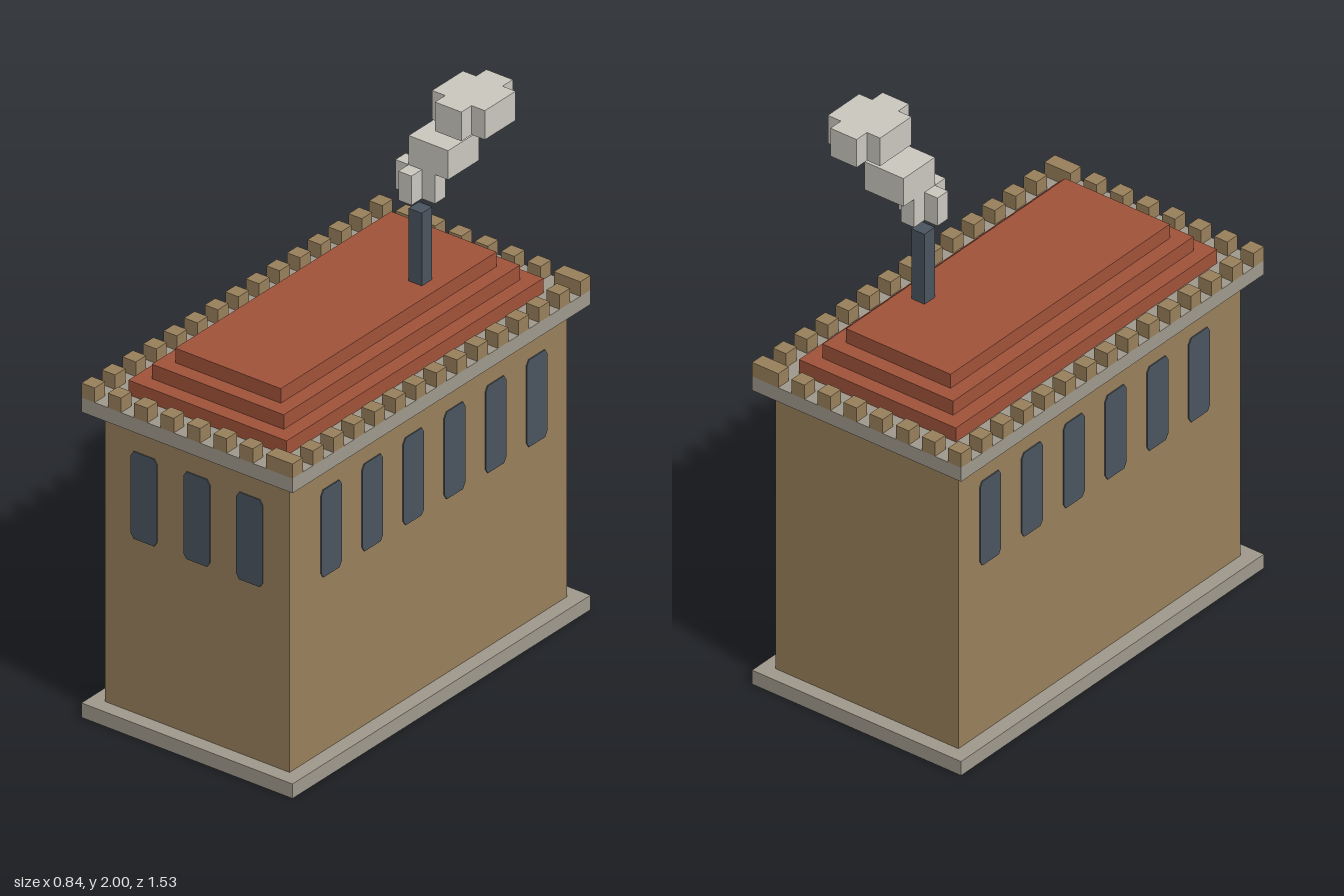
import * as THREE from 'three';

const U = 2 / 38; // one block of the grid

const mat = (name, color) => {
  const m = new THREE.MeshStandardMaterial({ color });
  m.name = name;
  return m;
};

export function createModel() {
  const model = new THREE.Group();
  model.name = 'tower';
  const brick = mat('tan brick', 0x987f5b);
  const stone = mat('grey stone', 0x9f998c);
  const tile = mat('red roof tile', 0xa0523a);
  const slate = mat('dark slate', 0x4a545f);
  const smoke = mat('pale smoke', 0xcac7be);

  const group = (name) => {
    const g = new THREE.Group();
    g.name = name;
    model.add(g);
    return g;
  };
  const add = (parent, name, geometry, material) => {
    const mesh = new THREE.Mesh(geometry, material);
    mesh.name = name;
    parent.add(mesh);
    return mesh;
  };
  // Box given by its limits in blocks
  const block = (parent, name, material, x0, x1, y0, y1, z0, z1) => {
    const g = new THREE.BoxGeometry((x1 - x0) * U, (y1 - y0) * U, (z1 - z0) * U);
    g.translate((x0 + x1) / 2 * U, (y0 + y1) / 2 * U, (z0 + z1) / 2 * U);
    return add(parent, name, g, material);
  };
  const polygon = (points) => new THREE.Shape(points.map(([x, y]) => new THREE.Vector2(x * U, y * U)));

  // Body of the building
  block(model, 'base', stone, -8, 8, 0, 1, -14.5, 14.5);
  block(model, 'walls', brick, -7, 7, 1, 21, -13.5, 13.5);
  block(model, 'ledge', stone, -8, 8, 21, 22, -14.5, 14.5);

  // Stepped roof
  const roof = group('roof');
  for (let i = 0; i < 3; i++) {
    block(roof, 'roofTier', tile, -6 + i, 6 - i, 22 + i, 23 + i, -12.5 + i, 12.5 - i);
  }
  block(model, 'chimney', slate, 2, 3, 25, 30, -5.5, -4.5);

  // Battlements: every other block around the ledge, double at the +x corners
  const battlements = group('battlements');
  for (const z of [-14.5, 13.5]) {
    for (let x = -8; x <= 6; x += 2) {
      block(battlements, 'merlon', brick, x, x === 6 ? 8 : x + 1, 22, 23, z, z + 1);
    }
  }
  for (const x of [-8, 7]) {
    for (let z = -12.5; z <= 11.5; z += 2) {
      block(battlements, 'merlon', brick, x, x + 1, 22, 23, z, z + 1);
    }
  }

  // Windows: thin plates with clipped corners
  const windows = group('windows');
  const c = 0.22, d = 0.35;
  const pane = new THREE.ExtrudeGeometry(polygon([
    [-1 + c, -3], [1 - c, -3], [1, -3 + d], [1, 3 - d],
    [1 - c, 3], [-1 + c, 3], [-1, 3 - d], [-1, -3 + d],
  ]), { depth: 0.004, bevelEnabled: false });
  const addWindow = (x, z, turn) => {
    const w = add(windows, 'window', pane, slate);
    w.position.set(x * U, 16 * U, z * U);
    w.rotation.y = turn;
  };
  for (const x of [-4, 0, 4]) addWindow(x, 13.5, 0);
  for (let z = -10.5; z <= 9.5; z += 4) {
    addWindow(7, z, Math.PI / 2);
    addWindow(-7, z, -Math.PI / 2);
  }

  // Smoke puffs: two crosses and a plain block between them
  const puffs = group('smoke');
  const cross = (name, cx, cz, w, h, y0, y1) => {
    // w, h: half sizes in x and z; each corner loses one block
    const g = new THREE.ExtrudeGeometry(polygon([
      [-w + 1, -h], [w - 1, -h], [w - 1, -h + 1], [w, -h + 1], [w, h - 1], [w - 1, h - 1],
      [w - 1, h], [-w + 1, h], [-w + 1, h - 1], [-w, h - 1], [-w, -h + 1], [-w + 1, -h + 1],
    ]), { depth: (y1 - y0) * U, bevelEnabled: false });
    g.rotateX(-Math.PI / 2);
    g.translate(cx * U, y0 * U, cz * U);
    add(puffs, name, g, smoke);
  };
  cross('lowPuff', 2.5, -5, 1.5, 1.5, 31, 33);
  block(puffs, 'middlePuff', smoke, 2, 5, 33, 35, -7.5, -4.5);
  cross('highPuff', 5, -7, 2, 2.5, 36, 38);

  return model;
}
